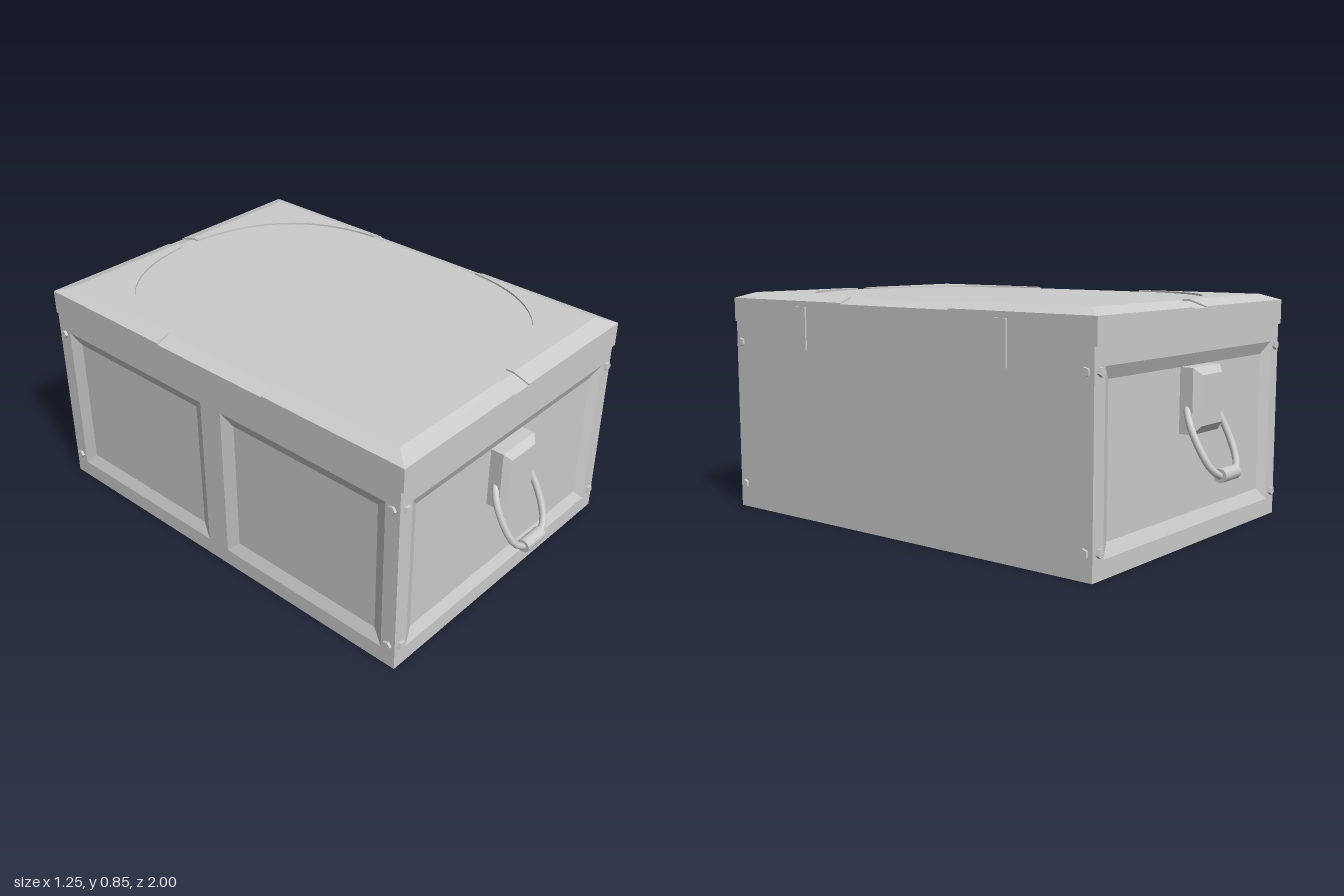
import * as THREE from 'three';
import { ConvexGeometry } from 'three/addons/geometries/ConvexGeometry.js';

const W = 0.615, D = 0.855, H = 0.74; // half width, half depth and height of the body
const flat = new THREE.MeshStandardMaterial({ color: 0xcccccc, flatShading: true });
const smooth = new THREE.MeshStandardMaterial({ color: 0xcccccc });
const v = (x, y, z) => new THREE.Vector3(x, y, z);

function add(parent, name, geometry, material = flat) {
  const mesh = new THREE.Mesh(geometry, material);
  mesh.name = name;
  parent.add(mesh);
  return mesh;
}

// Corners of a rectangle, counter-clockwise, at depth z
const rect = (x0, y0, x1, y1, z) => [v(x0, y0, z), v(x1, y0, z), v(x1, y1, z), v(x0, y1, z)];

// Wall in the xy plane with sunken, bevelled panels
function wall(name, halfWidth, openings) {
  const group = new THREE.Group();
  group.name = name;
  const shape = new THREE.Shape(rect(-halfWidth, 0, halfWidth, H, 0));
  const bevel = 0.045, depth = 0.02;
  for (const [x0, y0, x1, y1] of openings) {
    const outer = rect(x0, y0, x1, y1, 0);
    const inner = rect(x0 + bevel, y0 + bevel, x1 - bevel, y1 - bevel, -depth);
    shape.holes.push(new THREE.Path(outer));
    const points = [inner[0], inner[1], inner[2], inner[0], inner[2], inner[3]];
    for (let i = 0; i < 4; i++) {
      const j = (i + 1) % 4;
      points.push(outer[i], outer[j], inner[j], outer[i], inner[j], inner[i]);
    }
    const geometry = new THREE.BufferGeometry().setFromPoints(points);
    geometry.computeVertexNormals();
    add(group, 'sunkenPanel', geometry);
  }
  add(group, 'wallFrame', new THREE.ShapeGeometry(shape));
  return group;
}

// Latch block and hanging carry handle for one end
function endFittings() {
  const group = new THREE.Group();
  group.name = 'endFittings';
  group.position.x = -0.016;
  add(group, 'latch', new ConvexGeometry([
    ...rect(-0.091, 0.4, 0.091, 0.63, D - 0.025),
    ...rect(-0.091, 0.4, 0.091, 0.63, 0.885),
    ...rect(-0.068, 0.43, 0.068, 0.605, 0.908),
  ]));
  const zAt = (y) => 0.975 - (y - 0.265) * 0.51;
  const half = [[0.07, 0.5], [0.095, 0.475], [0.112, 0.41], [0.094, 0.3], [0.052, 0.265]];
  const path = [
    ...half.map(([x, y]) => v(-x, y, zAt(y))),
    ...half.slice().reverse().map(([x, y]) => v(x, y, zAt(y))),
  ];
  const curve = new THREE.CatmullRomCurve3(path, false, 'centripetal');
  add(group, 'handleLoop', new THREE.TubeGeometry(curve, 24, 0.013, 8), smooth);
  const grip = add(group, 'handleGrip', new THREE.CylinderGeometry(0.025, 0.025, 0.105, 12), smooth);
  grip.rotation.z = Math.PI / 2;
  grip.position.set(0, 0.265, 0.975);
  return group;
}

// Raised corner plate of the lid, cut away along an oval
function lidCorner() {
  const group = new THREE.Group();
  group.name = 'lidCorner';
  const ix = 0.56, iz = 0.8, top = 0.854;
  const shape = new THREE.Shape();
  shape.moveTo(0.04, -iz);
  shape.lineTo(ix, -iz);
  shape.lineTo(ix, -0.26);
  shape.bezierCurveTo(0.545, -0.5, 0.42, -0.74, 0.04, -0.77);
  const plate = new THREE.ExtrudeGeometry(shape, { depth: 0.014, bevelEnabled: false, curveSegments: 16 });
  plate.rotateX(-Math.PI / 2);
  plate.translate(0, top - 0.014, 0);
  add(group, 'plateTop', plate);
  // Sloping rims, mitred at the corner
  const rim = (ends) => new ConvexGeometry(ends.flatMap(([xi, zi, xo, zo]) => [
    v(xi, top, zi), v(xi, top - 0.014, zi), v(xo, 0.832, zo), v(xo, 0.822, zo),
  ]));
  add(group, 'sideRim', rim([[ix, 0.26, W, 0.26], [ix, iz, W, 0.865]]));
  add(group, 'endRim', rim([[0.04, iz, 0.04, 0.865], [ix, iz, W, 0.865]]));
  return group;
}

export function createModel() {
  const model = new THREE.Group();
  model.name = 'storageBox';

  // Body walls
  const endPanel = [[-0.555, 0.065, 0.555, 0.675]];
  const front = wall('frontWall', W, endPanel);
  front.position.z = D;
  const back = wall('backWall', W, endPanel);
  back.position.z = -D;
  back.rotation.y = Math.PI;
  const paneled = wall('panelledSideWall', D, [[-0.795, 0.065, -0.05, 0.675], [0.05, 0.065, 0.795, 0.675]]);
  paneled.position.x = -W;
  paneled.rotation.y = -Math.PI / 2;
  const plain = wall('plainSideWall', D, []);
  plain.position.x = W;
  plain.rotation.y = Math.PI / 2;
  model.add(front, back, paneled, plain);
  add(model, 'floor', new THREE.PlaneGeometry(2 * W, 2 * D)).rotation.x = Math.PI / 2;

  // Lid with sloping edges
  const lidPoints = [];
  for (const [x, y, z] of [[W, H, 0.865], [W, 0.827, 0.865], [0.56, 0.847, 0.8]]) {
    for (const sx of [-1, 1]) for (const sz of [-1, 1]) lidPoints.push(v(sx * x, y, sz * z));
  }
  add(model, 'lid', new ConvexGeometry(lidPoints));

  for (const sz of [-1, 1]) {
    // Fittings and hinge, one per end
    const fittings = endFittings();
    fittings.scale.z = sz;
    model.add(fittings);
    add(model, 'hinge', new THREE.BoxGeometry(0.014, 0.16, 0.07)).position.set(W, 0.73, sz * 0.48);

    for (const sx of [-1, 1]) {
      const corner = lidCorner();
      corner.scale.set(sx, 1, sz);
      model.add(corner);

      // Five-sided bolts on both faces of each corner
      for (const y of [0.093, 0.66]) {
        const endBolt = add(model, 'endBolt', new THREE.CylinderGeometry(0.017, 0.017, 0.024, 5));
        endBolt.rotation.x = Math.PI / 2;
        endBolt.position.set(sx * 0.585, y, sz * D);
        const sideBolt = add(model, 'sideBolt', new THREE.CylinderGeometry(0.017, 0.017, 0.02, 5));
        sideBolt.rotation.z = Math.PI / 2;
        sideBolt.position.set(sx * W, y, sz * 0.825);
      }
    }
  }
  return model;
}
